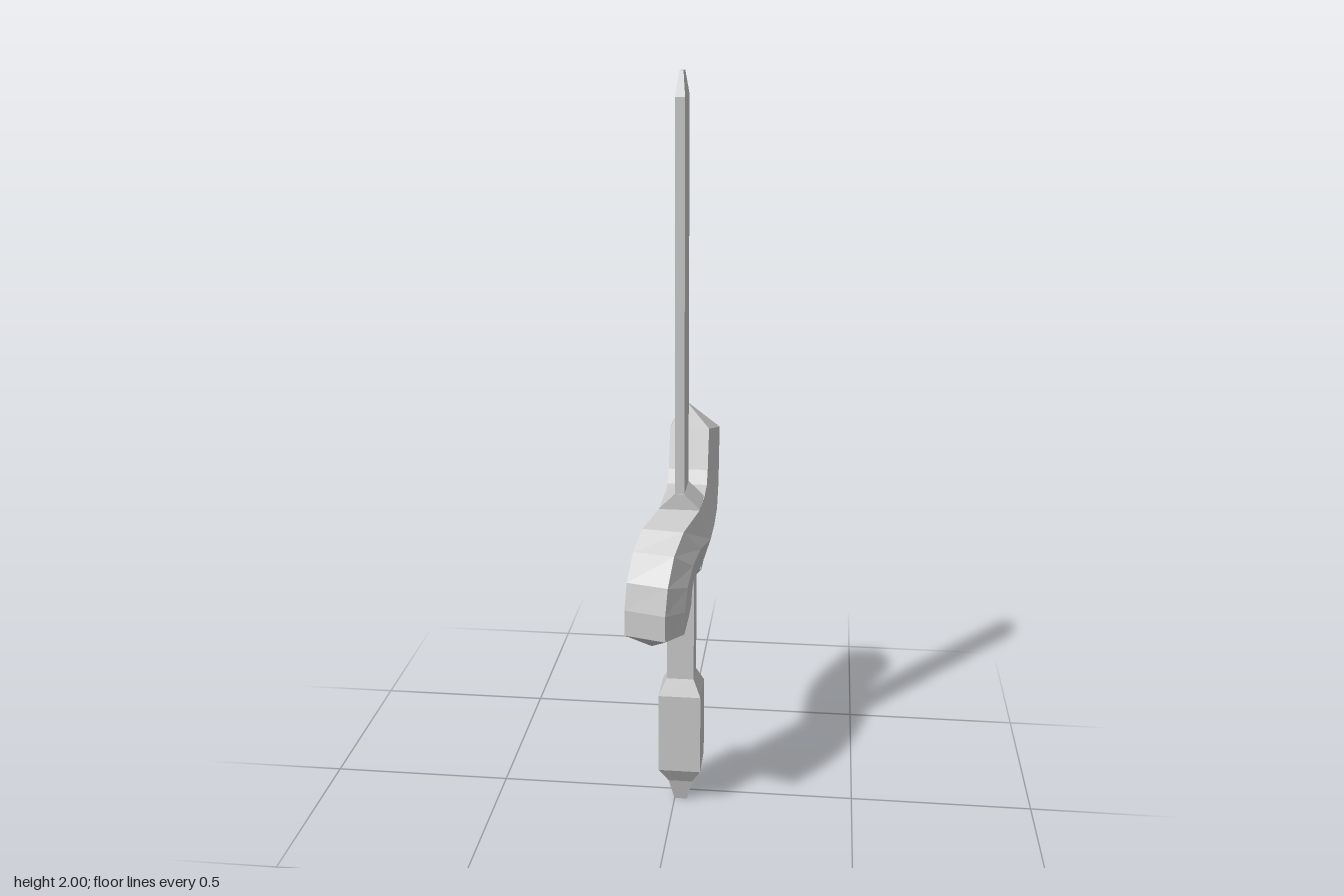
import * as THREE from 'three';

const material = new THREE.MeshStandardMaterial({ color: 0xcccccc, flatShading: true });

// Skins a row of rings (each clockwise seen from its start) and closes both ends on a point.
function skin(name, rings, startTip, endTip) {
  const n = rings[0].length;
  const pos = [];
  const tri = (...pts) => pts.forEach((p) => pos.push(...p));
  for (let i = 0; i < n; i++) {
    const j = (i + 1) % n;
    for (let s = 0; s < rings.length - 1; s++) {
      const a = rings[s], b = rings[s + 1];
      tri(a[i], a[j], b[j]);
      tri(a[i], b[j], b[i]);
    }
    const last = rings[rings.length - 1];
    tri(startTip, rings[0][j], rings[0][i]);
    tri(endTip, last[i], last[j]);
  }
  const geo = new THREE.BufferGeometry();
  geo.setAttribute('position', new THREE.Float32BufferAttribute(pos, 3));
  geo.computeVertexNormals();
  const mesh = new THREE.Mesh(geo, material);
  mesh.name = name;
  return mesh;
}

// Stacks rectangles given as [y, half width, half depth] on the weapon's axis.
const AX = 0.0175, AZ = 0.033;
function stack(name, levels) {
  const rings = levels.map(([y, w, d]) =>
    [[-1, 1], [1, 1], [1, -1], [-1, -1]].map(([sx, sz]) => [AX + sx * w, y, AZ + sz * d]));
  return skin(name, rings, [AX, levels[0][0], AZ], [AX, levels[levels.length - 1][0], AZ]);
}

// S-shaped guard: outer edge, ridge and inner edge as [z, y], from front hook to rear horn.
function guard() {
  const stations = [
    [[0.311, 0.615], [0.255, 0.615], [0.160, 0.615]],
    [[0.311, 0.685], [0.252, 0.675], [0.142, 0.645]],
    [[0.295, 0.755], [0.235, 0.735], [0.138, 0.680]],
    [[0.255, 0.825], [0.200, 0.780], [0.125, 0.705]],
    [[0.195, 0.867], [0.150, 0.805], [0.105, 0.720]],
    [[0.090, 0.887], [0.080, 0.806], [0.080, 0.720]],
    [[-0.030, 0.885], [-0.030, 0.805], [-0.070, 0.720]],
    [[-0.095, 0.895], [-0.115, 0.820], [-0.165, 0.745]],
    [[-0.120, 0.930], [-0.175, 0.875], [-0.235, 0.800]],
    [[-0.165, 1.035], [-0.240, 1.020], [-0.325, 1.010]],
  ];
  const section = [[0, -0.035], [0, 0.073], [1, 0.1], [2, 0.073], [2, -0.035], [1, -0.038]];
  // The front hook swings sideways; the rear horn leans slightly the same way.
  const bend = (x, y, z) => {
    const f = Math.max(0, z - 0.08);
    const r = Math.max(0, -z - 0.15);
    return [x - 0.287 * f - 0.05 * r, y, z + (x - 0.019) * 1.2 * f];
  };
  const rings = stations.map((st) => section.map(([k, x]) => bend(x, st[k][1], st[k][0])));
  return skin('guard', rings, [-0.04, 0.56, 0.235], [0.005, 1.105, -0.195]);
}

export function createModel() {
  const model = new THREE.Group();
  model.name = 'dagger';
  model.add(
    // Square handle with tapered end, thick grip and flared top
    stack('handle', [
      [0, 0.018, 0.018], [0.065, 0.033, 0.033], [0.11, 0.058, 0.057], [0.34, 0.058, 0.057],
      [0.385, 0.037, 0.036], [0.69, 0.037, 0.036], [0.72, 0.058, 0.056], [0.74, 0.056, 0.056],
    ]),
    guard(),
    // Wedge joining guard and blade
    stack('collar', [[0.87, 0.053, 0.056], [0.89, 0.053, 0.056], [0.93, 0.0125, 0.056]]),
    // Flat blade with clipped tip
    stack('blade', [[0.92, 0.0125, 0.054], [1.94, 0.0125, 0.054], [2, 0.005, 0.021]]),
  );
  return model;
}
